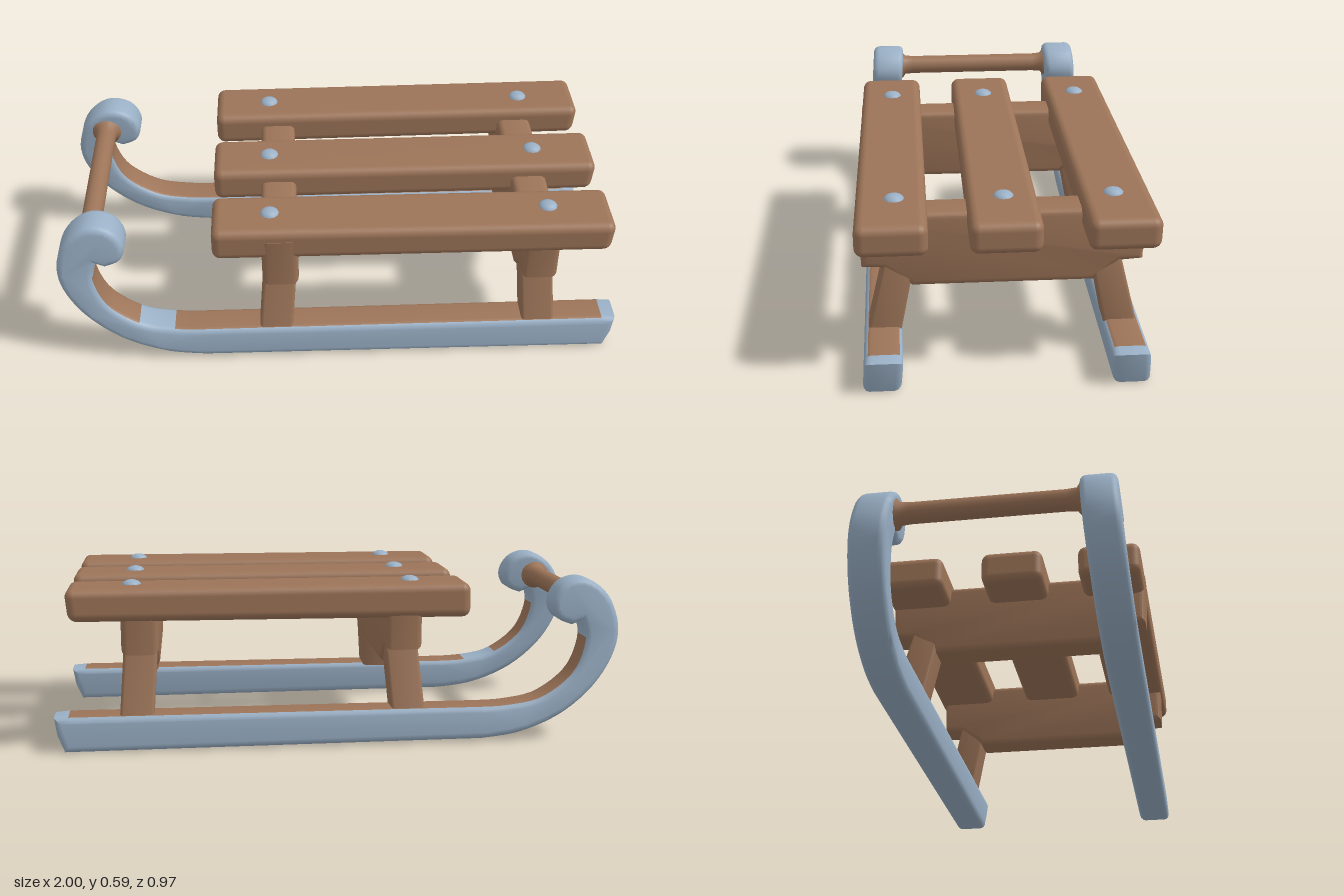
import * as THREE from 'three';
import { toCreasedNormals } from 'three/addons/utils/BufferGeometryUtils.js';
import { RoundedBoxGeometry } from 'three/addons/geometries/RoundedBoxGeometry.js';

const wood = new THREE.MeshStandardMaterial({ color: 0x9c7458 });
wood.name = 'wood';
const metal = new THREE.MeshStandardMaterial({ color: 0x9ab0c6 });
metal.name = 'paleMetal';

function addMesh(parent, name, geometry, material) {
  const mesh = new THREE.Mesh(geometry, material);
  mesh.name = name;
  parent.add(mesh);
  return mesh;
}

// Move every vertex by a rule
function warp(geometry, rule) {
  const p = geometry.attributes.position;
  const v = new THREE.Vector3();
  for (let i = 0; i < p.count; i++) {
    rule(v.fromBufferAttribute(p, i));
    p.setXYZ(i, v.x, v.y, v.z);
  }
  return geometry;
}

// Extrude with softened edges, centred on z = 0, staying inside the outline
function softExtrude(shape, width, bevel, curveSegments = 4) {
  const geometry = new THREE.ExtrudeGeometry(shape, {
    depth: width - 2 * bevel, bevelThickness: bevel, bevelSize: bevel,
    bevelOffset: -bevel, bevelSegments: 3, curveSegments,
  });
  return geometry.translate(0, 0, bevel - width / 2);
}

const points = (list) => list.map(([x, y]) => new THREE.Vector2(x, y));

function runnerShape() {
  const s = new THREE.Shape();
  s.moveTo(0.965, 0);
  s.lineTo(-0.5, 0.008);
  s.splineThru(points([[-0.64, 0.028], [-0.79, 0.09], [-0.91, 0.19], [-0.98, 0.3], [-1, 0.4],
    [-0.97, 0.5], [-0.91, 0.56], [-0.85, 0.575], [-0.79, 0.55], [-0.758, 0.49],
    [-0.775, 0.435], [-0.83, 0.41]]));
  s.lineTo(-0.865, 0.425);
  s.splineThru(points([[-0.875, 0.35], [-0.83, 0.24], [-0.72, 0.157], [-0.6, 0.131], [-0.5, 0.126]]));
  s.lineTo(0.95, 0.126);
  s.lineTo(1, 0.122);
  s.lineTo(0.99, 0.06);
  s.closePath();
  return s;
}

// Runner: metal all round, with bare wood on the upper, inner face
function addRunner(parent, side) {
  let geometry = softExtrude(runnerShape(), 0.125, 0.022);
  warp(geometry, (v) => { v.z += side * (0.407 - 0.075 * v.y); });
  geometry = toCreasedNormals(geometry, 0.7);
  const p = geometry.attributes.position;
  const n = geometry.attributes.normal;
  const metalPart = { p: [], n: [] };
  const woodPart = { p: [], n: [] };
  const tri = new THREE.Triangle();
  const normal = new THREE.Vector3();
  const mid = new THREE.Vector3();
  for (let i = 0; i < p.count; i += 3) {
    tri.setFromAttributeAndIndices(p, i, i + 1, i + 2);
    tri.getNormal(normal);
    tri.getMidpoint(mid);
    const inner = Math.abs(normal.z) < 0.55 && normal.x + normal.y > 0.5 && mid.y < 0.36 && mid.x < 0.95;
    const wornPatch = side > 0 && mid.x > -0.73 && mid.x < -0.6;
    const part = inner && !wornPatch ? woodPart : metalPart;
    for (let k = i; k < i + 3; k++) {
      part.p.push(p.getX(k), p.getY(k), p.getZ(k));
      part.n.push(n.getX(k), n.getY(k), n.getZ(k));
    }
  }
  const group = new THREE.Group();
  group.name = side > 0 ? 'leftRunner' : 'rightRunner';
  for (const [name, part, material] of [['runnerMetal', metalPart, metal], ['runnerWoodFace', woodPart, wood]]) {
    const g = new THREE.BufferGeometry();
    g.setAttribute('position', new THREE.Float32BufferAttribute(part.p, 3));
    g.setAttribute('normal', new THREE.Float32BufferAttribute(part.n, 3));
    addMesh(group, name, g, material);
  }
  parent.add(group);
}

// Trestle: crossbar with a deeper belly and two splayed legs
function addTrestle(parent, name, x, lean) {
  const trestle = new THREE.Group();
  trestle.name = name;
  trestle.position.x = x;
  const bar = new THREE.Shape(points([[-0.47, 0.53], [-0.465, 0.34], [-0.39, 0.335], [-0.3, 0.268],
    [0.3, 0.268], [0.39, 0.335], [0.465, 0.34], [0.47, 0.53]]));
  const barGeometry = softExtrude(bar, 0.128, 0.022).rotateY(Math.PI / 2);
  addMesh(trestle, 'crossbar', toCreasedNormals(barGeometry, 0.7), wood);
  for (const side of [-1, 1]) {
    const leg = new THREE.Shape(points([[side * 0.285, 0.38], [side * 0.385, 0.38],
      [side * 0.46, 0.07], [side * 0.347, 0.07]]));
    const legGeometry = softExtrude(leg, 0.118, 0.012).rotateY(-Math.PI / 2);
    legGeometry.scale(1, 1, 1);
    warp(legGeometry, (v) => { v.x += lean * (0.36 - v.y); });
    addMesh(trestle, 'leg', toCreasedNormals(legGeometry, 0.7), wood);
  }
  parent.add(trestle);
}

export function createModel() {
  const sled = new THREE.Group();
  sled.name = 'sled';

  addRunner(sled, 1);
  addRunner(sled, -1);

  addTrestle(sled, 'frontTrestle', -0.217, -0.085);
  addTrestle(sled, 'rearTrestle', 0.698, 0.07);

  // Seat slats, slightly wider toward the rear, with bolts
  const slats = [['leftSlat', 0.359], ['middleSlat', 0.002], ['rightSlat', -0.368]];
  for (const [name, z] of slats) {
    const geometry = new RoundedBoxGeometry(1.395, 0.117, 0.228, 4, 0.03);
    warp(geometry, (v) => {
      v.z = v.z * (1 + 0.03 * v.x) + Math.sign(Math.round(z * 10)) * 0.008 * v.x;
      v.x += v.x > 0.5 ? 0.1 * v.y : 0;
      v.y += v.y < 0 ? 0.006 * v.x : 0;
    });
    addMesh(sled, name, geometry, wood).position.set(0.245, 0.514, z);
  }
  for (const x of [-0.25, 0.725]) {
    for (const z of [0.352, -0.002, -0.361]) {
      const geometry = new THREE.SphereGeometry(0.035, 12, 8).scale(1, 0.62, 1);
      addMesh(sled, 'bolt', geometry, metal).position.set(x, 0.567, z);
    }
  }

  // Pull bar between the curled tips, flared where it meets them
  const profile = points([[0.055, -0.325], [0.055, -0.306], [0.04, -0.295], [0.037, -0.26],
    [0.037, 0.26], [0.04, 0.295], [0.055, 0.306], [0.055, 0.325]]);
  const barGeometry = new THREE.LatheGeometry(profile, 16).rotateX(Math.PI / 2);
  addMesh(sled, 'pullBar', barGeometry, wood).position.set(-0.885, 0.485, 0);

  return sled;
}
